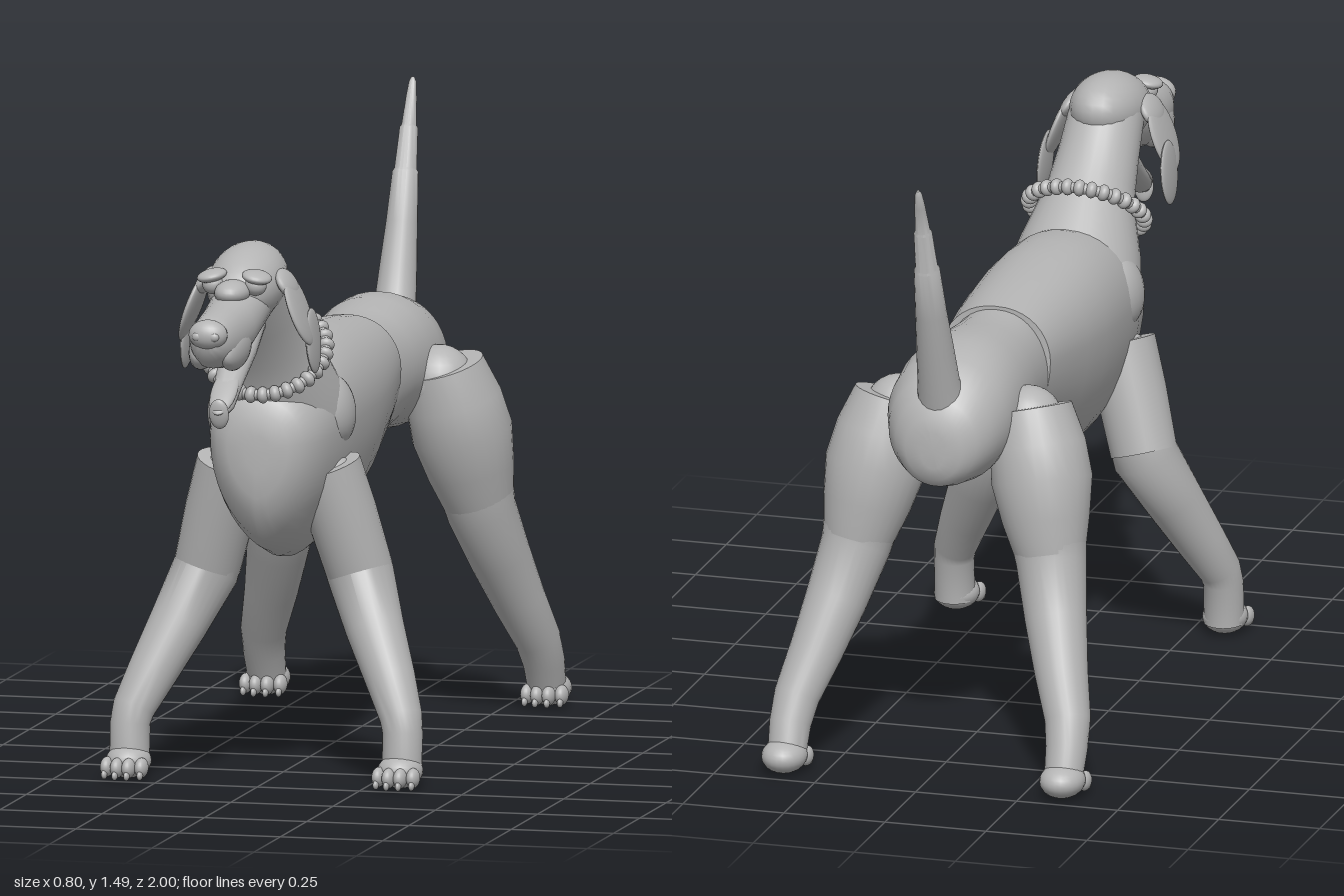
import * as THREE from 'three';
import { toCreasedNormals } from 'three/addons/utils/BufferGeometryUtils.js';

const clay = new THREE.MeshStandardMaterial({ color: 0xb4b4b4 });
clay.name = 'clay grey';
const V = (x, y, z) => new THREE.Vector3(x, y, z);

// Skin a list of closed rings, each counterclockwise about the direction of travel
function loft(rings, crease = 0.7) {
  const n = rings[0].length, pos = [], idx = [];
  rings.forEach(r => r.forEach(p => pos.push(p.x, p.y, p.z)));
  for (let i = 0; i < rings.length - 1; i++) for (let j = 0; j < n; j++) {
    const a = i * n + j, b = i * n + (j + 1) % n;
    idx.push(a, b, a + n, b, b + n, a + n);
  }
  [0, rings.length - 1].forEach((k, e) => {
    const c = rings[k].reduce((s, p) => s.add(p), V(0, 0, 0)).divideScalar(n);
    const ci = pos.length / 3;
    pos.push(c.x, c.y, c.z);
    for (let j = 0; j < n; j++) {
      const a = k * n + j, b = k * n + (j + 1) % n;
      idx.push(ci, e ? a : b, e ? b : a);
    }
  });
  const g = new THREE.BufferGeometry();
  g.setAttribute('position', new THREE.Float32BufferAttribute(pos, 3));
  g.setIndex(idx);
  return toCreasedNormals(g, crease);
}

// Round limb through [x, y, z, radius] stations
function limb(pts, n = 28) {
  const p = pts.map(q => V(q[0], q[1], q[2]));
  return loft(p.map((c, i) => {
    const d = p[Math.min(i + 1, p.length - 1)].clone().sub(p[Math.max(i - 1, 0)]).normalize();
    const u = V(0, 0, 1).cross(d).normalize(), v = d.clone().cross(u);
    return Array.from({ length: n }, (_, j) => {
      const t = j / n * Math.PI * 2, r = pts[i][3];
      return c.clone().addScaledVector(u, r * Math.cos(t)).addScaledVector(v, r * Math.sin(t));
    });
  }));
}

// Trunk shape through [z, top, bottom, halfWidth], back to front; keel narrows the underside
function trunk(secs, keel, mid, n = 40) {
  return loft(secs.map(([z, top, bot, w]) => {
    const yc = bot + (top - bot) * mid;
    return Array.from({ length: n }, (_, j) => {
      const t = j / n * Math.PI * 2, c = Math.cos(t), s = Math.sin(t);
      const x = Math.sign(c) * Math.pow(Math.abs(c), s < 0 ? keel : 0.9) * w;
      return V(x, yc + s * (s > 0 ? top - yc : yc - bot), z);
    });
  }), 0.9);
}

export function createModel() {
  const dog = new THREE.Group();
  dog.name = 'dog';
  const add = (name, geo, parent = dog) => {
    const m = new THREE.Mesh(geo, clay);
    m.name = name;
    parent.add(m);
    return m;
  };
  const ball = (name, c, r, rot = [0, 0, 0], parent = dog) => {
    const m = add(name, new THREE.SphereGeometry(1, 24, 16), parent);
    m.position.set(...c);
    m.scale.set(...r);
    m.rotation.set(...rot);
    return m;
  };

  // Trunk
  add('ribCage', trunk([
    [-0.345, 1.01, 0.66, 0.135], [-0.25, 1.02, 0.62, 0.148], [-0.12, 1.03, 0.565, 0.162],
    [0, 1.038, 0.53, 0.17], [0.1, 1.04, 0.515, 0.17], [0.2, 1.035, 0.51, 0.167],
    [0.3, 1.015, 0.525, 0.16], [0.38, 0.985, 0.55, 0.147], [0.44, 0.955, 0.585, 0.13],
    [0.48, 0.925, 0.64, 0.105], [0.497, 0.89, 0.69, 0.075], [0.502, 0.84, 0.75, 0.03],
  ], 1.3, 0.64));
  add('pelvis', trunk([
    [-0.862, 0.85, 0.76, 0.03], [-0.855, 0.885, 0.73, 0.07], [-0.835, 0.925, 0.71, 0.1],
    [-0.8, 0.965, 0.7, 0.127], [-0.74, 1, 0.69, 0.148], [-0.66, 1.018, 0.69, 0.154],
    [-0.57, 1.018, 0.7, 0.15], [-0.47, 1.005, 0.71, 0.14], [-0.38, 1, 0.695, 0.131],
    [-0.32, 1.003, 0.68, 0.128],
  ], 1, 0.5));

  // Neck and beaded collar
  add('neck', limb([
    [0, 0.87, 0.28, 0.165], [0, 0.95, 0.345, 0.145], [0, 1.015, 0.39, 0.122],
    [0, 1.07, 0.435, 0.105], [0, 1.14, 0.495, 0.096], [0, 1.22, 0.56, 0.09],
  ], 32));
  const collar = new THREE.Group();
  collar.name = 'collar';
  collar.position.set(0, 1.028, 0.395);
  collar.rotation.x = -0.885;
  dog.add(collar);
  add('collarCord', new THREE.TorusGeometry(0.138, 0.013, 10, 48), collar);
  for (let i = 0; i < 30; i++) {
    const t = i / 30 * Math.PI * 2;
    ball('collarBead', [0.139 * Math.cos(t), 0.139 * Math.sin(t), 0], [0.02, 0.0145, 0.02], [0, 0, t], collar);
  }

  // Head
  ball('skull', [0, 1.225, 0.59], [0.092, 0.088, 0.155], [0.2, 0, 0]);
  add('muzzle', trunk([
    [0.6, 1.26, 1.12, 0.07], [0.7, 1.23, 1.095, 0.07], [0.78, 1.21, 1.07, 0.068],
    [0.86, 1.2, 1.057, 0.063], [0.92, 1.192, 1.065, 0.057], [0.96, 1.182, 1.085, 0.045],
    [0.982, 1.165, 1.11, 0.025],
  ], 0.9, 0.5, 28));
  ball('nose', [0, 1.152, 0.965], [0.047, 0.036, 0.035]);
  ball('noseBridge', [0, 1.22, 0.735], [0.042, 0.03, 0.06]);

  // Hanging lower jaw and tongue
  add('lowerJaw', limb([
    [0, 1.13, 0.58, 0.035], [0, 1.075, 0.67, 0.035], [0, 1.015, 0.76, 0.028],
    [0, 0.965, 0.83, 0.024], [0, 0.945, 0.86, 0.012],
  ], 18)).scale.x = 1.25;
  ball('tongue', [0, 0.995, 0.81], [0.032, 0.014, 0.085], [0.6, 0, 0]);
  ball('tongueTip', [0, 0.947, 0.862], [0.024, 0.037, 0.012], [0.2, 0, 0]);

  // Tail with joint rings
  add('tail', limb([
    [0, 0.9, -0.785, 0.06], [0, 0.965, -0.812, 0.05], [0, 1.05, -0.84, 0.045],
    [0, 1.15, -0.873, 0.038], [0, 1.27, -0.908, 0.031], [0, 1.275, -0.91, 0.027],
    [0, 1.37, -0.94, 0.022], [0, 1.375, -0.942, 0.018], [0, 1.44, -0.964, 0.013],
    [0, 1.475, -0.976, 0.009], [0, 1.485, -0.979, 0.004],
  ], 20));

  // Paired parts
  for (const s of [1, -1]) {
    const side = s > 0 ? 'left' : 'right';
    const m = pts => pts.map(([x, y, z, r]) => [s * x, y, z, r]);

    // Face
    ball(side + 'Eye', [s * 0.052, 1.235, 0.715], [0.026, 0.024, 0.026]);
    ball(side + 'Brow', [s * 0.055, 1.256, 0.715], [0.036, 0.015, 0.04], [0.1, 0, -s * 0.2]);
    ball(side + 'Flew', [s * 0.038, 1.105, 0.85], [0.03, 0.05, 0.1], [0.1, 0, 0]);
    ball(side + 'Nostril', [s * 0.02, 1.15, 0.99], [0.013, 0.011, 0.009]);

    // Ear in three overlapping lobes
    ball(side + 'EarRoot', [s * 0.1, 1.225, 0.6], [0.017, 0.04, 0.06], [0, 0, s * 0.55]);
    ball(side + 'EarUpper', [s * 0.128, 1.165, 0.6], [0.014, 0.09, 0.076], [0, 0, s * 0.35]);
    ball(side + 'EarLower', [s * 0.153, 1.085, 0.562], [0.011, 0.078, 0.06], [0, 0, s * 0.08]);

    // Front leg
    ball(side + 'ShoulderBlade', [s * 0.122, 0.875, 0.265], [0.055, 0.088, 0.088], [0, 0, s * 0.15]);
    ball(side + 'ShoulderJoint', [s * 0.135, 0.7, 0.285], [0.062, 0.068, 0.068]);
    add(side + 'UpperArm', limb(m([
      [0.115, 0.745, 0.292, 0.084], [0.148, 0.63, 0.272, 0.084], [0.186, 0.49, 0.248, 0.08],
    ])));
    add(side + 'Forearm', limb(m([
      [0.176, 0.53, 0.255, 0.08], [0.189, 0.48, 0.25, 0.08], [0.24, 0.36, 0.31, 0.07],
      [0.29, 0.25, 0.36, 0.06], [0.327, 0.165, 0.402, 0.051], [0.333, 0.13, 0.412, 0.048],
      [0.333, 0.03, 0.418, 0.048],
    ])));

    // Hind leg
    ball(side + 'HipJoint', [s * 0.16, 0.815, -0.607], [0.085, 0.09, 0.085]);
    add(side + 'Thigh', limb(m([
      [0.17, 0.855, -0.612, 0.096], [0.19, 0.77, -0.63, 0.115], [0.206, 0.69, -0.648, 0.121],
      [0.222, 0.6, -0.668, 0.105], [0.238, 0.52, -0.685, 0.085],
    ])));
    add(side + 'Shin', limb(m([
      [0.233, 0.55, -0.68, 0.09], [0.242, 0.5, -0.69, 0.084], [0.272, 0.38, -0.752, 0.074],
      [0.303, 0.27, -0.81, 0.064], [0.335, 0.17, -0.863, 0.055], [0.342, 0.11, -0.895, 0.05],
      [0.342, 0.045, -0.922, 0.046],
    ])));

    // Paws with four toes and claws
    for (const [name, x, z, len] of [['FrontPaw', 0.332, 0.43, 0.06], ['HindPaw', 0.344, -0.935, 0.065]]) {
      ball(side + name, [s * x, 0.042, z], [0.054, 0.041, len]);
      for (let k = 0; k < 4; k++) {
        const o = k - 1.5, tz = z + 0.058 - 0.007 * o * o;
        ball(side + name + 'Toe', [s * x + o * 0.028, 0.032, tz], [0.016, 0.024, 0.028]);
        ball(side + name + 'Claw', [s * x + o * 0.029, 0.016, tz + 0.022], [0.007, 0.011, 0.012]);
      }
    }
  }
  return dog;
}
